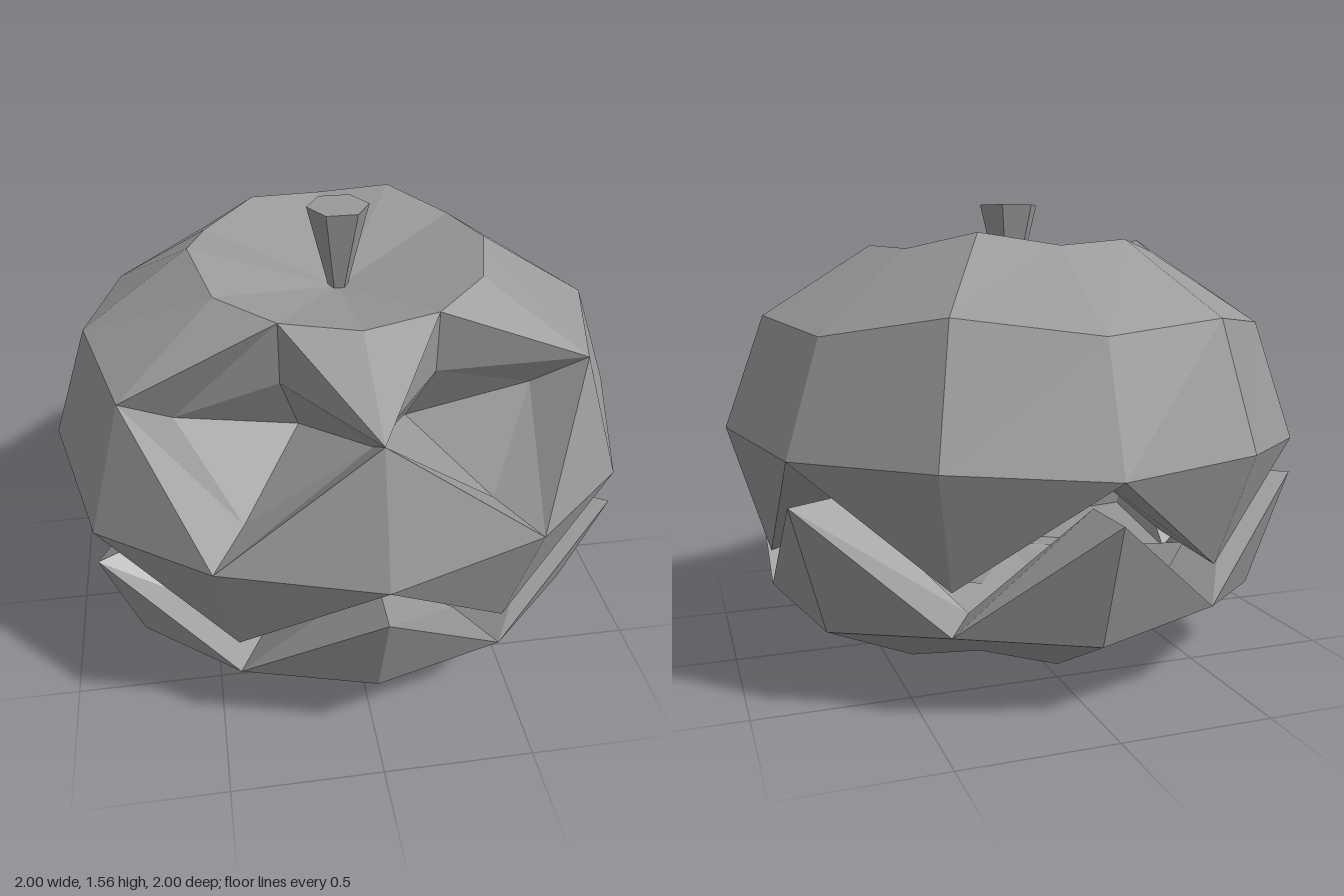
import * as THREE from 'three';

const SEG = 12, WALL = 0.22;

// One point at an angle step; k = 0 faces the front and k grows towards +x.
function polar(radius, y, k) {
  const a = (k / SEG) * Math.PI * 2;
  return new THREE.Vector3(Math.sin(a) * radius, y, Math.cos(a) * radius);
}
const ring = (radius, heights) => heights.map((y, k) => polar(radius, y, k));

// Flat triangles from a list of polygons.
function polygons(faces) {
  const points = [];
  for (const f of faces) {
    for (let i = 1; i < f.length - 1; i++) points.push(f[0], f[i], f[i + 1]);
  }
  const geometry = new THREE.BufferGeometry().setFromPoints(points);
  geometry.computeVertexNormals();
  return geometry;
}

// Gives an open surface thickness: outer skin, inner skin and walls along open edges.
// With levelRim the wall tops run level towards the inside.
function thickShell(faces, levelRim) {
  const normals = new Map(), ids = new Map(), edges = new Map();
  const id = (p) => { if (!ids.has(p)) ids.set(p, ids.size); return ids.get(p); };
  const u = new THREE.Vector3(), v = new THREE.Vector3();
  for (const f of faces) {
    const n = new THREE.Vector3();
    for (let i = 1; i < f.length - 1; i++) {
      n.add(u.subVectors(f[i], f[0]).cross(v.subVectors(f[i + 1], f[0])));
    }
    n.normalize();
    f.forEach((p, i) => {
      const next = f[(i + 1) % f.length], prev = f[(i + f.length - 1) % f.length];
      const corner = u.subVectors(next, p).angleTo(v.subVectors(prev, p));
      if (!normals.has(p)) normals.set(p, new THREE.Vector3());
      normals.get(p).addScaledVector(n, corner);
      edges.set(id(p) + '>' + id(next), [p, next]);
    });
  }
  const openEdges = [...edges.values()].filter(([a, b]) => !edges.has(id(b) + '>' + id(a)));
  if (levelRim) openEdges.flat().forEach((p) => { normals.get(p).y = 0; });

  const inner = new Map();
  normals.forEach((n, p) => inner.set(p, p.clone().addScaledVector(n.normalize(), -WALL)));
  const geometry = polygons([
    ...faces,
    ...faces.map((f) => f.map((p) => inner.get(p)).reverse()),
    ...openEdges.map(([a, b]) => [b, a, inner.get(a), inner.get(b)]),
  ]);
  return { geometry, inner };
}

// Upper half: dimpled top, two diamond eye openings and pointed upper teeth.
function upperHalf() {
  const pole = new THREE.Vector3(0, 1.27, 0);
  const top = ring(0.5, [1.36, 1.37, 1.39, 1.42, 1.41, 1.46, 1.42, 1.44, 1.4, 1.44, 1.38, 1.37]);
  const mid = ring(0.866, [1.19, 0, 1.17, 1.19, 1.15, 1.22, 1.165, 1.2, 1.16, 1.17, 1.13, 0]);
  const belly = ring(1, [0.77, 0.81, 0.75, 0.82, 0.79, 0.8, 0.77, 0.79, 0.76, 0.78, 0.7, 0.79]);
  const tips = ring(0.866, [0, 0.4, 0, 0.38, 0, 0.42, 0, 0.42, 0, 0.38, 0, 0.4]);
  // Faces beside an eye lose the corner at its centre.
  mid[1] = mid[11] = null;
  const faces = [];
  for (let k = 0; k < SEG; k++) {
    const n = (k + 1) % SEG;
    faces.push([top[k], top[n], pole]);
    faces.push([mid[k], mid[n], top[n], top[k]].filter(Boolean));
    faces.push([belly[k], belly[n], mid[n], mid[k]].filter(Boolean));
    faces.push([belly[k], tips[k % 2 ? k : n], belly[n]]);
  }
  const eyes = [1, 11].map((k) => ({
    rim: [top[k], mid[k - 1], belly[k], mid[(k + 1) % SEG]],
    apex: polar(0.36, 0.93, k),
  }));
  return { faces, eyes };
}

// Lower half: pointed lower teeth and dimpled underside.
function lowerFaces() {
  const pole = new THREE.Vector3(0, 0.1, 0);
  const peaks = ring(1, [0.645, 0, 0.63, 0, 0.65, 0, 0.645, 0, 0.64, 0, 0.58, 0]);
  const side = ring(0.866, [0.265, 0.27, 0.25, 0.26, 0.225, 0.28, 0.24, 0.28, 0.23, 0.25, 0.21, 0.27]);
  const base = ring(0.5, [0, 0.02, 0.035, 0.07, 0.04, 0.1, 0.045, 0.08, 0.04, 0.06, 0.025, 0.02]);
  const faces = [];
  for (let k = 0; k < SEG; k++) {
    const n = (k + 1) % SEG;
    faces.push([side[k], side[n], peaks[k % 2 ? n : k]]);
    faces.push([base[k], base[n], side[n], side[k]]);
    faces.push([base[n], base[k], pole]);
  }
  return faces;
}

export function createModel() {
  const material = new THREE.MeshStandardMaterial({ color: 0x999999, flatShading: true });
  const thin = material.clone();
  thin.side = THREE.DoubleSide;
  const group = new THREE.Group();
  group.name = 'carvedPumpkin';
  const add = (name, geometry, mat = material) => {
    const mesh = new THREE.Mesh(geometry, mat);
    mesh.name = name;
    group.add(mesh);
    return mesh;
  };

  const { faces, eyes } = upperHalf();
  const upper = thickShell(faces, false);
  add('upperShell', upper.geometry);
  add('lowerShell', thickShell(lowerFaces(), true).geometry);

  // Pointed hollow closing each eye behind its wall
  eyes.forEach(({ rim, apex }, i) => {
    const loop = rim.map((p) => upper.inner.get(p));
    const sides = loop.map((p, j) => [p, loop[(j + 1) % loop.length], apex]);
    add(i ? 'rightEyeHollow' : 'leftEyeHollow', polygons(sides), thin);
  });

  // Six-sided stem, wider at the top
  const stem = add('stem', new THREE.CylinderGeometry(0.105, 0.03, 0.3, 6));
  stem.rotation.y = Math.PI / 6;
  stem.position.y = 1.41;

  return group;
}
